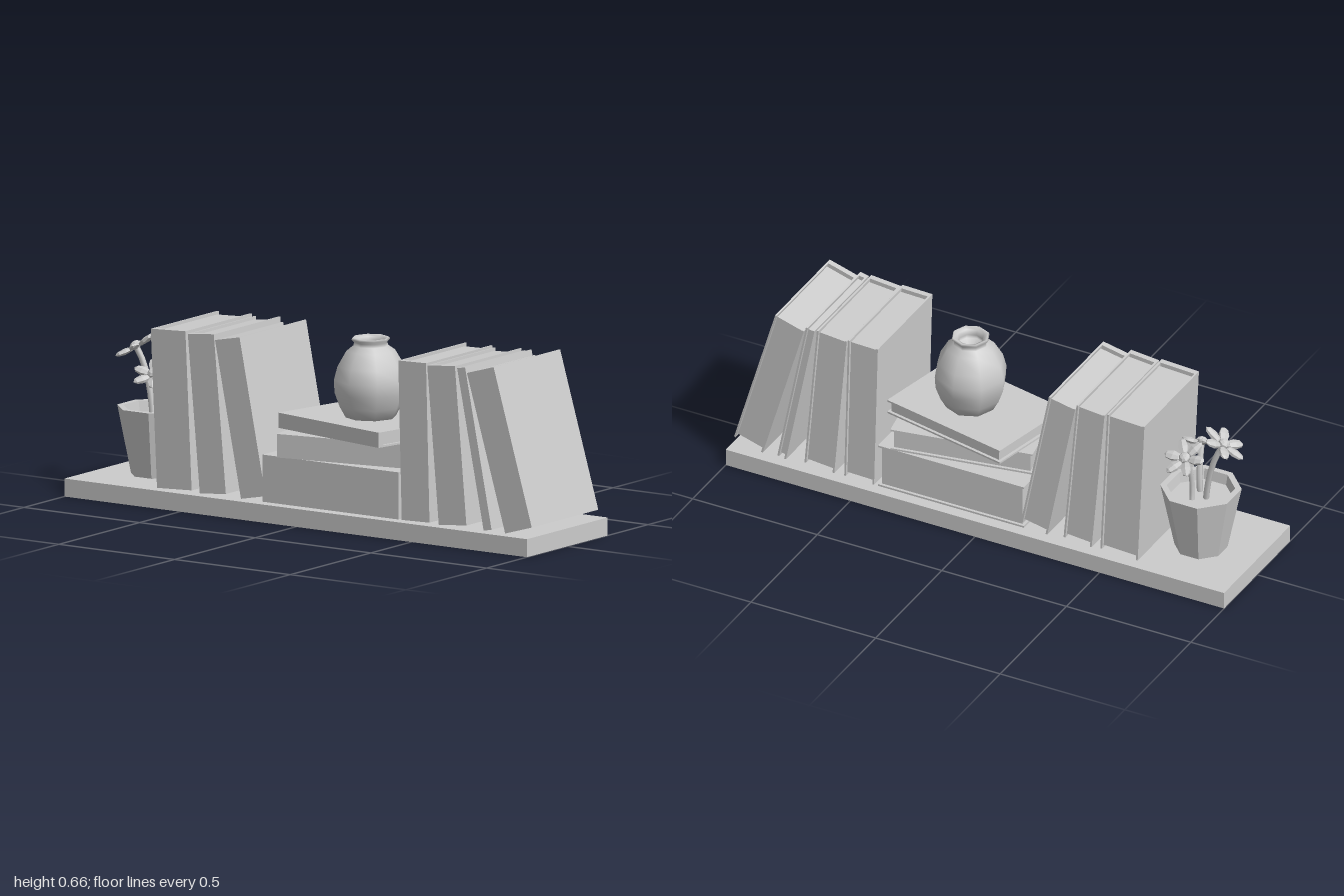
import * as THREE from 'three';

const grey = new THREE.MeshStandardMaterial({ color: 0xcccccc });
const flat = new THREE.MeshStandardMaterial({ color: 0xcccccc, flatShading: true });
const BOARD_TOP = 0.065;

function add(parent, name, geometry, material = grey) {
  const mesh = new THREE.Mesh(geometry, material);
  mesh.name = name;
  parent.add(mesh);
  return mesh;
}

function box(parent, name, x0, x1, y0, y1, z0, z1) {
  const mesh = add(parent, name, new THREE.BoxGeometry(x1 - x0, y1 - y0, z1 - z0));
  mesh.position.set((x0 + x1) / 2, (y0 + y1) / 2, (z0 + z1) / 2);
  return mesh;
}

// Upright book: origin at its lower left edge, spine facing +z
function makeBook(name, thick, height, depth) {
  const book = new THREE.Group();
  book.name = name;
  const cover = 0.007, spine = 0.022, inset = 0.011, d = depth / 2;
  box(book, 'leftCover', 0, cover, 0, height, -d, d - spine);
  box(book, 'rightCover', thick - cover, thick, 0, height, -d, d - spine);
  box(book, 'spine', 0, thick, 0, height, d - spine, d);
  box(book, 'pages', cover, thick - cover, inset, height - inset, -d + inset, d - spine - 0.006);
  return book;
}

// Lathe from [radius, y] pairs with eight sides
function lathe(parent, name, profile, material, phi = 0) {
  const points = profile.map(([r, y]) => new THREE.Vector2(r, y));
  return add(parent, name, new THREE.LatheGeometry(points, 8, phi), material);
}

// Six-petalled flower, opening towards the given normal
function makeFlower(base, head, normal, size) {
  const flower = new THREE.Group();
  flower.name = 'flower';
  const n = new THREE.Vector3(...normal).normalize();
  const top = new THREE.Vector3(...head);
  const foot = new THREE.Vector3(...base);
  const bend = top.clone().addScaledVector(n, -0.1);
  const curve = new THREE.QuadraticBezierCurve3(foot, bend, top);
  add(flower, 'stem', new THREE.TubeGeometry(curve, 6, 0.011, 6));

  const bloom = new THREE.Group();
  bloom.name = 'bloom';
  bloom.position.copy(top);
  bloom.quaternion.setFromUnitVectors(new THREE.Vector3(0, 1, 0), n);
  const heart = add(bloom, 'flowerHeart', new THREE.SphereGeometry(0.022, 8, 5), flat);
  heart.scale.y = 0.75;
  heart.position.y = 0.006;
  for (let i = 0; i < 6; i++) {
    const arm = new THREE.Group();
    arm.name = 'petalArm';
    arm.rotation.y = (i * Math.PI) / 3;
    const petal = add(arm, 'petal', new THREE.SphereGeometry(1, 6, 4).rotateZ(Math.PI / 2), flat);
    petal.scale.set(size * 0.42, 0.011, size * 0.25);
    petal.position.set(size * 0.58, 0.004, 0);
    petal.rotation.z = 0.12;
    bloom.add(arm);
  }
  flower.add(bloom);
  return flower;
}

export function createModel() {
  const model = new THREE.Group();
  model.name = 'bookshelf';
  box(model, 'shelfBoard', -1, 1, 0, BOARD_TOP, -0.25, 0.25);

  // Leaning books: lower left x, thickness, height, lean in degrees
  const leaning = [
    [-0.63, 0.15, 0.572, 2.7],
    [-0.445, 0.113, 0.573, 5.2],
    [-0.267, 0.108, 0.572, 11.3],
    [0.428, 0.12, 0.574, 1.5],
    [0.588, 0.12, 0.572, 5],
    [0.782, 0.035, 0.585, 11.3],
    [0.875, 0.12, 0.585, 16.4],
  ];
  for (const [x, thick, height, lean] of leaning) {
    const book = makeBook('leaningBook', thick, height, 0.412);
    book.position.set(x, BOARD_TOP, 0);
    book.rotation.z = THREE.MathUtils.degToRad(lean);
    model.add(book);
  }

  // Lying stack: centre x, z, base y, thickness, length, depth, turn in degrees
  const stack = [
    [0.12, 0, 0.065, 0.17, 0.586, 0.412, 0],
    [0.13, 0.006, 0.235, 0.085, 0.53, 0.345, 10],
    [0.13, 0.003, 0.32, 0.055, 0.52, 0.36, -12],
  ];
  for (const [x, z, y, thick, length, depth, turn] of stack) {
    const holder = new THREE.Group();
    holder.name = 'lyingBook';
    holder.position.set(x, y, z);
    holder.rotation.y = THREE.MathUtils.degToRad(turn);
    const book = makeBook('book', thick, length, depth);
    book.rotation.z = Math.PI / 2;
    book.position.x = length / 2;
    holder.add(book);
    model.add(holder);
  }

  // Vase with a narrow neck and flared rim
  const vase = lathe(model, 'vase', [
    [0, 0], [0.09, 0], [0.112, 0.04], [0.13, 0.09], [0.133, 0.135], [0.12, 0.185],
    [0.088, 0.24], [0.063, 0.258], [0.06, 0.27], [0.07, 0.28], [0.066, 0.287],
    [0.05, 0.28], [0.044, 0.262], [0.05, 0.245], [0, 0.23],
  ], grey);
  vase.position.set(0.15, 0.375, 0);

  // Flower pot filled with soil
  const plant = new THREE.Group();
  plant.name = 'pottedPlant';
  plant.position.set(-0.78, BOARD_TOP, -0.01);
  lathe(plant, 'pot', [
    [0, 0], [0.095, 0], [0.145, 0.245], [0.122, 0.245], [0.115, 0.205], [0, 0.205],
  ], flat, Math.PI / 8);
  plant.add(
    makeFlower([-0.02, 0.2, 0], [-0.09, 0.45, 0], [-0.5, 0.85, 0.15], 0.088),
    makeFlower([0.02, 0.2, -0.03], [0.035, 0.385, -0.055], [0.1, 0.85, -0.5], 0.082),
    makeFlower([0.02, 0.2, 0.03], [0.04, 0.375, 0.08], [0.15, 0.85, 0.5], 0.08),
  );
  model.add(plant);
  return model;
}
